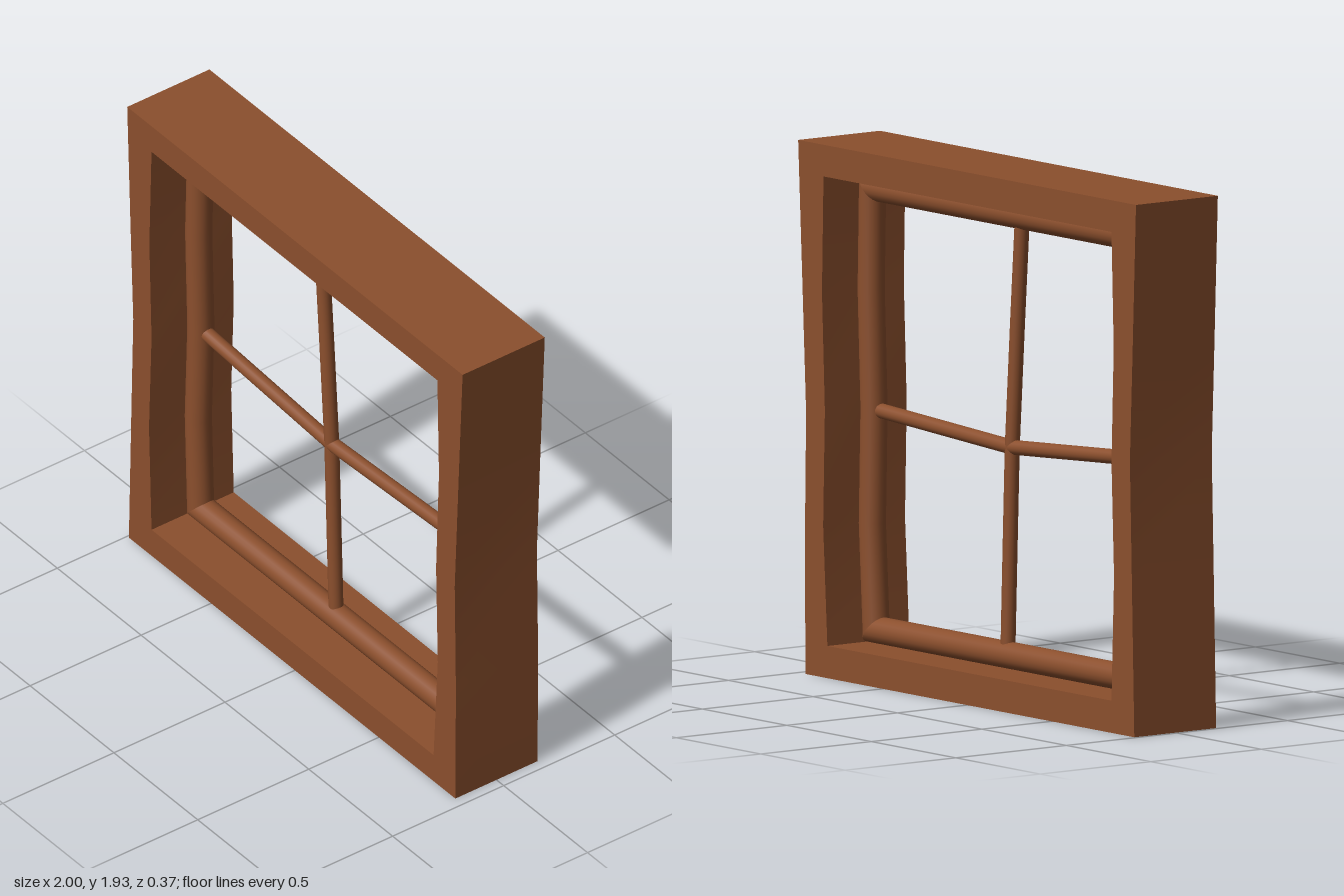
import * as THREE from 'three';
import { toCreasedNormals } from 'three/addons/utils/BufferGeometryUtils.js';

const DEPTH = 0.37;
const SIDES = 20;

// Miter vectors along a path: the sideways offset that keeps an even width at bends.
function miters(path, closed) {
  const n = path.length;
  const normal = (a, b) => new THREE.Vector2(a.y - b.y, b.x - a.x).normalize();
  return path.map((p, i) => {
    const prev = path[i - 1] ?? (closed ? path[n - 1] : null);
    const next = path[i + 1] ?? (closed ? path[0] : null);
    const n1 = prev ? normal(prev, p) : normal(p, next);
    const n2 = next ? normal(p, next) : n1;
    const m = n1.clone().add(n2).normalize();
    return m.multiplyScalar(1 / m.dot(n1));
  });
}

// Round bar swept along a path in the xy plane.
function roundBar(path, offsets, radius) {
  const pos = [];
  const index = [];
  path.forEach((p, i) => {
    for (let j = 0; j < SIDES; j++) {
      const a = (j / SIDES) * Math.PI * 2;
      const c = Math.cos(a) * radius;
      pos.push(p.x + offsets[i].x * c, p.y + offsets[i].y * c, Math.sin(a) * radius);
      if (i < path.length - 1) {
        const k = (j + 1) % SIDES;
        const r0 = i * SIDES;
        const r1 = r0 + SIDES;
        index.push(r0 + j, r0 + k, r1 + j, r0 + k, r1 + k, r1 + j);
      }
    }
  });
  const geo = new THREE.BufferGeometry();
  geo.setAttribute('position', new THREE.Float32BufferAttribute(pos, 3));
  geo.setIndex(index);
  geo.computeVertexNormals();
  return geo;
}

const points = (list) => list.map(([x, y]) => new THREE.Vector2(x, y));

export function createModel() {
  const group = new THREE.Group();
  const wood = new THREE.MeshStandardMaterial({ color: 0x8b4f2d });
  wood.name = 'brown wood';
  const add = (name, geo) => {
    const mesh = new THREE.Mesh(geo, wood);
    mesh.name = name;
    group.add(mesh);
  };

  // Crooked outer frame with a wavy opening
  const outline = points([
    [-0.99, 0], [0.957, 0], [0.96, 0.5], [0.953, 0.95], [0.975, 1.42], [1, 1.935],
    [-1, 1.935], [-0.98, 1.4], [-0.964, 1.0], [-0.976, 0.55],
  ]);
  const opening = points([
    [-0.855, 0.117], [0.827, 0.117], [0.852, 0.55], [0.842, 0.97], [0.859, 1.4], [0.85, 1.82],
    [-0.855, 1.82], [-0.868, 1.4], [-0.855, 0.98], [-0.87, 0.57],
  ]);
  const shape = new THREE.Shape(outline);
  shape.holes.push(new THREE.Path(opening));
  const frame = new THREE.ExtrudeGeometry(shape, { depth: DEPTH, bevelEnabled: false });
  frame.translate(0, 0, -DEPTH / 2);
  add('outerFrame', toCreasedNormals(frame, 0.5));

  // Round sash rails and stiles, mitred at the four corners and lining the opening
  const radius = 0.049;
  const inset = miters(opening, true);
  const centre = opening.map((p, i) => p.clone().addScaledVector(inset[i], radius));
  const runs = { bottomRail: [0, 1], leftStile: [1, 5], topRail: [5, 6], rightStile: [6, 10] };
  for (const [name, [from, to]] of Object.entries(runs)) {
    const ids = Array.from({ length: to - from + 1 }, (_, i) => (from + i) % opening.length);
    add(name, roundBar(ids.map((i) => centre[i]), ids.map((i) => inset[i]), radius));
  }

  // Bent glazing bars, their ends buried in the sash
  const bars = {
    verticalBar: [[0.001, 0.165], [-0.012, 0.55], [-0.025, 0.92], [-0.055, 1.36], [-0.085, 1.77]],
    horizontalBar: [[-0.8, 0.971], [-0.025, 0.923], [0.79, 0.966]],
  };
  for (const [name, list] of Object.entries(bars)) {
    const path = points(list);
    add(name, roundBar(path, miters(path, false), 0.027));
  }
  return group;
}
